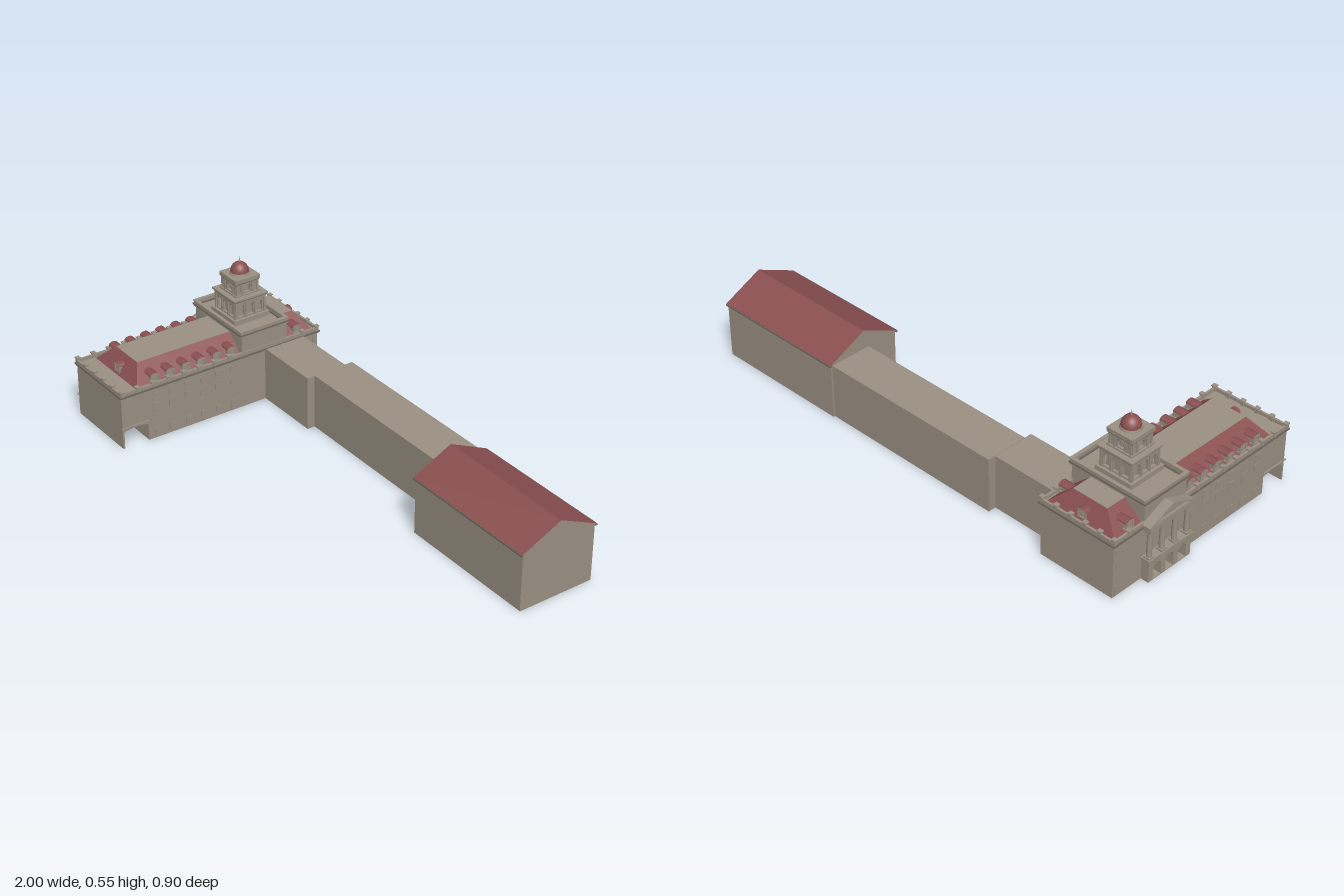
import * as THREE from 'three';

const mat = (name, color) => {
  const m = new THREE.MeshStandardMaterial({ color, side: THREE.DoubleSide });
  m.name = name;
  return m;
};

export function createModel() {
  const root = new THREE.Group();
  const stone = mat('stone', 0x9a9082), red = mat('red roof', 0x8a4f50), dark = mat('dark trim', 0x6f685f);

  const add = (name, geo, material = stone, parent = root) => {
    const m = new THREE.Mesh(geo, material);
    m.name = name;
    parent.add(m);
    return m;
  };
  // Box given by its limits; open = no underside
  const box = (name, x0, x1, y0, y1, z0, z1, material = stone, open = false, parent = root) => {
    const g = new THREE.BoxGeometry(x1 - x0, y1 - y0, z1 - z0);
    if (open) {
      g.setIndex([...g.index.array].filter((v, i) => i < 18 || i >= 24));
      g.clearGroups();
    }
    g.translate((x0 + x1) / 2, (y0 + y1) / 2, (z0 + z1) / 2);
    return add(name, g, material, parent);
  };
  const block = (name, x, z, hx, hz, y0, y1, material = stone, parent = root) =>
    box(name, x - hx, x + hx, y0, y1, z - hz, z + hz, material, false, parent);
  const poly = pts => new THREE.Shape(pts.map(p => new THREE.Vector2(...p)));
  const rect = (a, b, c, d) => poly([[a, c], [b, c], [b, d], [a, d]]);
  // Flat ring of masonry round a rectangle
  const ring = (name, x0, x1, z0, z1, t, y0, y1, material = stone) => {
    const s = rect(x0, x1, -z1, -z0);
    s.holes.push(rect(x0 + t, x1 - t, -z1 + t, -z0 - t));
    const g = new THREE.ExtrudeGeometry(s, { depth: y1 - y0, bevelEnabled: false });
    return add(name, g.rotateX(-Math.PI / 2).translate(0, y0, 0), material);
  };
  const archHole = (x, y0, y1, r) => {
    const p = new THREE.Path();
    p.moveTo(x - r, y0);
    p.lineTo(x + r, y0);
    p.lineTo(x + r, y1);
    p.absarc(x, y1, r, 0, Math.PI, false);
    p.lineTo(x - r, y0);
    return p;
  };

  const W = -0.962, E = -0.642, N = -0.445, S = 0.44, CX = -0.802, TZ = -0.197;

  // Main hall walls, with the drive-through near the front
  const side = poly([[N, 0], [0.328, 0], [0.328, 0.07]]);
  side.quadraticCurveTo(0.38, 0.083, 0.433, 0.07);
  [[0.433, 0], [S, 0], [S, 0.222], [N, 0.222]].forEach(p => side.lineTo(...p));
  for (const x of [W, E])
    add('hallSideWall', new THREE.ShapeGeometry(side).rotateY(-Math.PI / 2).translate(x, 0, 0));
  box('hallFrontWall', W, E, 0, 0.222, S - 0.007, S);
  box('hallBackWall', W, E, 0, 0.222, N, N + 0.005);
  box('passageWall', W, E, 0, 0.083, 0.325, 0.328);
  box('passageCeiling', W, E, 0.082, 0.085, 0.328, S - 0.007);
  for (const [x, s] of [[W, -1], [E, 1]])
    block('passageBand', x + s * 0.002, 0.385, 0.003, 0.06, 0.083, 0.088);

  // Roof terrace, cornice and parapet with posts
  ring('terrace', W, E, N, S, 0.02, 0.218, 0.223);
  box('frontTerrace', W, E, 0.218, 0.223, 0.35, S);
  ring('lowerCornice', W - 0.004, E + 0.004, N - 0.004, S + 0.004, 0.012, 0.21, 0.216);
  ring('upperCornice', W - 0.008, E + 0.008, N - 0.008, S + 0.006, 0.018, 0.216, 0.222, dark);
  ring('parapet', W - 0.003, E + 0.003, N - 0.003, S + 0.003, 0.009, 0.222, 0.236);
  const post = (x, z) => {
    block('parapetPost', x, z, 0.007, 0.007, 0.222, 0.241);
    block('postCap', x, z, 0.009, 0.009, 0.241, 0.245);
  };
  for (let i = 0; i <= 13; i++) {
    const z = N + 0.004 + i * (S - N - 0.008) / 13;
    if (z < -0.08 && z > -0.32) continue;
    post(W + 0.001, z);
    post(E - 0.001, z);
  }
  for (let i = 1; i < 5; i++)
    for (const z of [N + 0.004, S - 0.004]) post(W + i * (E - W) / 5, z);

  // Sloping hall roof with a flat top
  const lo = [[-0.952, -0.43], [-0.652, -0.43], [-0.652, 0.365], [-0.952, 0.365]];
  const hi = [[-0.877, -0.385], [-0.727, -0.385], [-0.727, 0.315], [-0.877, 0.315]];
  const v = [];
  for (let i = 0; i < 4; i++) {
    const j = (i + 1) % 4, a = [lo[i][0], 0.222, lo[i][1]], b = [lo[j][0], 0.222, lo[j][1]];
    const c = [hi[j][0], 0.29, hi[j][1]], d = [hi[i][0], 0.29, hi[i][1]];
    v.push(...a, ...c, ...b, ...a, ...d, ...c);
  }
  const slopes = new THREE.BufferGeometry();
  slopes.setAttribute('position', new THREE.Float32BufferAttribute(v, 3));
  slopes.computeVertexNormals();
  // Winding: turn the slopes outward
  add('hallRoofSlopes', slopes, red);
  box('hallRoofTop', -0.877, -0.727, 0.288, 0.291, -0.385, 0.315);

  // Dormers, built facing +z
  const dormer = (x, z, turn) => {
    const g = new THREE.Group();
    g.name = 'dormer';
    const B = (n, ...a) => box(n, ...a, stone, false, g);
    B('dormerBody', -0.014, 0.014, 0.225, 0.26, -0.045, 0);
    for (const s of [-1, 1]) block('dormerPilaster', s * 0.0145, 0.001, 0.003, 0.003, 0.228, 0.258, stone, g);
    B('dormerSill', -0.019, 0.019, 0.232, 0.237, -0.02, 0.004);
    B('dormerWindow', -0.008, 0.008, 0.239, 0.255, 0, 0.002);
    const roof = new THREE.CylinderGeometry(0.019, 0.019, 0.055, 12, 1, false, -Math.PI / 2, Math.PI);
    roof.rotateX(-Math.PI / 2).scale(1, 0.6, 1).translate(0, 0.258, -0.024);
    add('dormerRoof', roof, [red, stone, stone], g);
    g.position.set(x, 0, z);
    g.rotation.y = turn;
    root.add(g);
  };
  const bays = [0.286, 0.217, 0.148, 0.08, 0.012, -0.056];
  for (const z of [...bays, -0.357]) {
    dormer(-0.656, z, Math.PI / 2);
    dormer(-0.948, z, -Math.PI / 2);
  }
  dormer(CX, 0.356, 0);
  dormer(CX, -0.422, Math.PI);

  // Hall windows as thin slatted plates
  for (const z of [...bays, -0.43])
    for (const [x, s] of [[W, -1], [E, 1]])
      for (const [y0, y1] of [[0.005, 0.045], [0.115, 0.152], [0.165, 0.195]])
        block('hallWindow', x + s * 0.001, z, 0.001, z < -0.4 ? 0.006 : 0.016, y0, y1);

  // Central pavilion
  box('pavilion', W, E, 0.2, 0.306, -0.3, -0.095, stone, true);
  ring('pavilionCornice', W - 0.004, E + 0.004, -0.307, -0.088, 0.02, 0.3, 0.307);
  ring('pavilionTrim', W - 0.008, E + 0.007, -0.309, -0.086, 0.02, 0.307, 0.312, dark);
  ring('pavilionParapet', W - 0.003, E + 0.003, -0.305, -0.09, 0.01, 0.312, 0.322);
  ring('pavilionCoping', W - 0.006, E + 0.006, -0.308, -0.087, 0.014, 0.322, 0.326);

  // West portico: arched base, columns and pediment
  const base = rect(-0.105, 0.105, 0, 0.085);
  for (const z of [-0.062, 0, 0.062]) base.holes.push(archHole(z, 0.003, 0.045, 0.02));
  add('porticoBase', new THREE.ExtrudeGeometry(base, { depth: 0.032, bevelEnabled: false, curveSegments: 8 })
    .rotateY(-Math.PI / 2).translate(W - 0.001, 0, TZ - 0.003));
  box('porticoBalcony', -1, W, 0.085, 0.094, -0.31, -0.09);
  for (const z of [-0.093, -0.031, 0.031, 0.093]) {
    const c = new THREE.CylinderGeometry(0.0085, 0.0105, 0.11, 12);
    add('porticoColumn', c.translate(-0.983, 0.15, TZ - 0.003 + z));
    block('columnFoot', -0.983, TZ - 0.003 + z, 0.013, 0.013, 0.094, 0.101);
    block('columnCapital', -0.983, TZ - 0.003 + z, 0.012, 0.012, 0.199, 0.207);
  }
  for (const z of [-0.062, 0, 0.062])
    block('porticoWindow', W - 0.001, TZ - 0.003 + z, 0.003, 0.015, 0.105, 0.185);
  box('porticoEntablature', -0.996, W, 0.207, 0.225, -0.307, -0.093);
  box('porticoCornice', -1, W, 0.225, 0.231, -0.312, -0.088);
  const tri = poly([[-0.112, 0.231], [0.112, 0.231], [0, 0.278]]);
  tri.holes.push(poly([[-0.085, 0.236], [0.085, 0.236], [0, 0.271]]));
  add('pedimentFrame', new THREE.ExtrudeGeometry(tri, { depth: 0.037, bevelEnabled: false })
    .rotateY(-Math.PI / 2).translate(W, 0, TZ - 0.003));
  add('pedimentField', new THREE.ExtrudeGeometry(poly([[-0.1, 0.232], [0.1, 0.232], [0, 0.274]]), { depth: 0.028, bevelEnabled: false })
    .rotateY(-Math.PI / 2).translate(W, 0, TZ - 0.003));

  // Tower: arcaded stage, upper stage, dome
  const tower = new THREE.Group();
  tower.name = 'tower';
  tower.position.set(CX, 0, TZ);
  root.add(tower);
  const tier = (name, h, y0, y1, material = stone) => block(name, 0, 0, h, h, y0, y1, material, tower);
  const arcade = (h, y0, y1, holes, core) => {
    const s = rect(-h, h, y0, y1);
    s.holes.push(...holes);
    const g = new THREE.ExtrudeGeometry(s, { depth: 0.01, bevelEnabled: false, curveSegments: 6 }).translate(0, 0, h - 0.01);
    for (let i = 0; i < 4; i++) add('arcadeWall', g, stone, tower).rotation.y = i * Math.PI / 2;
    tier('towerCore', core, y0, y1);
  };
  tier('towerPlinth', 0.08, 0.305, 0.326);
  arcade(0.068, 0.326, 0.392, [-0.041, 0, 0.041].map(x => archHole(x, 0.332, 0.366, 0.014)), 0.054);
  for (let i = 0; i < 4; i++) {
    const g = new THREE.Group();
    g.name = 'towerPilasters';
    g.rotation.y = i * Math.PI / 2;
    for (const x of [-0.064, -0.0205, 0.0205, 0.064])
      block('lowerPilaster', x, 0.068, 0.004, 0.004, 0.326, 0.392, stone, g);
    for (const x of [-0.045, -0.025, 0.025, 0.045])
      block('upperPilaster', x, 0.049, 0.004, 0.004, 0.414, 0.46, stone, g);
    const hood = new THREE.TorusGeometry(0.018, 0.003, 4, 10, Math.PI);
    add('archHood', hood.translate(0, 0.436, 0.05), stone, g);
    tower.add(g);
  }
  tier('lowerArchitrave', 0.071, 0.39, 0.397);
  tier('lowerTrim', 0.074, 0.397, 0.402, dark);
  tier('lowerCoping', 0.077, 0.402, 0.409);
  tier('upperPlinth', 0.056, 0.409, 0.415);
  arcade(0.049, 0.415, 0.46, [archHole(0, 0.42, 0.435, 0.014)], 0.037);
  tier('upperTrim', 0.053, 0.458, 0.464, dark);
  tier('upperCornice', 0.056, 0.464, 0.48);
  add('domeDrum', new THREE.CylinderGeometry(0.038, 0.04, 0.008, 24).translate(0, 0.484, 0), stone, tower);
  add('dome', new THREE.SphereGeometry(0.036, 24, 10, 0, Math.PI * 2, 0, Math.PI / 2).scale(1, 1.14, 1).translate(0, 0.486, 0), red, tower);
  add('finial', new THREE.CylinderGeometry(0.0008, 0.003, 0.022, 8).translate(0, 0.536, 0), stone, tower);

  // Long connecting wings
  box('nearWing', E, -0.36, 0, 0.22, -0.375, -0.2, stone, true);
  box('farWing', -0.362, 0.425, 0, 0.222, -0.407, -0.232, stone, true);
  box('doorStep', 0.357, 0.42, 0, 0.012, -0.232, -0.178);
  box('wingDoor', 0.378, 0.403, 0.012, 0.058, -0.232, -0.226, red);

  // End building with a gable roof
  for (const z of [-0.412, -0.104]) box('endSideWall', 0.424, 0.996, 0, 0.228, z - 0.002, z + 0.002);
  const gable = poly([[-0.414, 0], [-0.102, 0], [-0.102, 0.228], [-0.258, 0.302], [-0.414, 0.228]]);
  for (const x of [0.424, 0.997])
    add('endGable', new THREE.ShapeGeometry(gable).rotateY(-Math.PI / 2).translate(x, 0, 0));
  for (const s of [-1, 1]) {
    const pitch = poly([[0, 0.305], [s * 0.162, 0.229], [s * 0.162, 0.225], [0, 0.301]]);
    add('endRoof', new THREE.ExtrudeGeometry(pitch, { depth: 0.582, bevelEnabled: false })
      .rotateY(-Math.PI / 2).translate(1, 0, -0.258), [stone, red]);
    block('endEave', 0.709, -0.258 + s * 0.161, 0.291, 0.004, 0.222, 0.228, dark);
  }
  return root;
}
